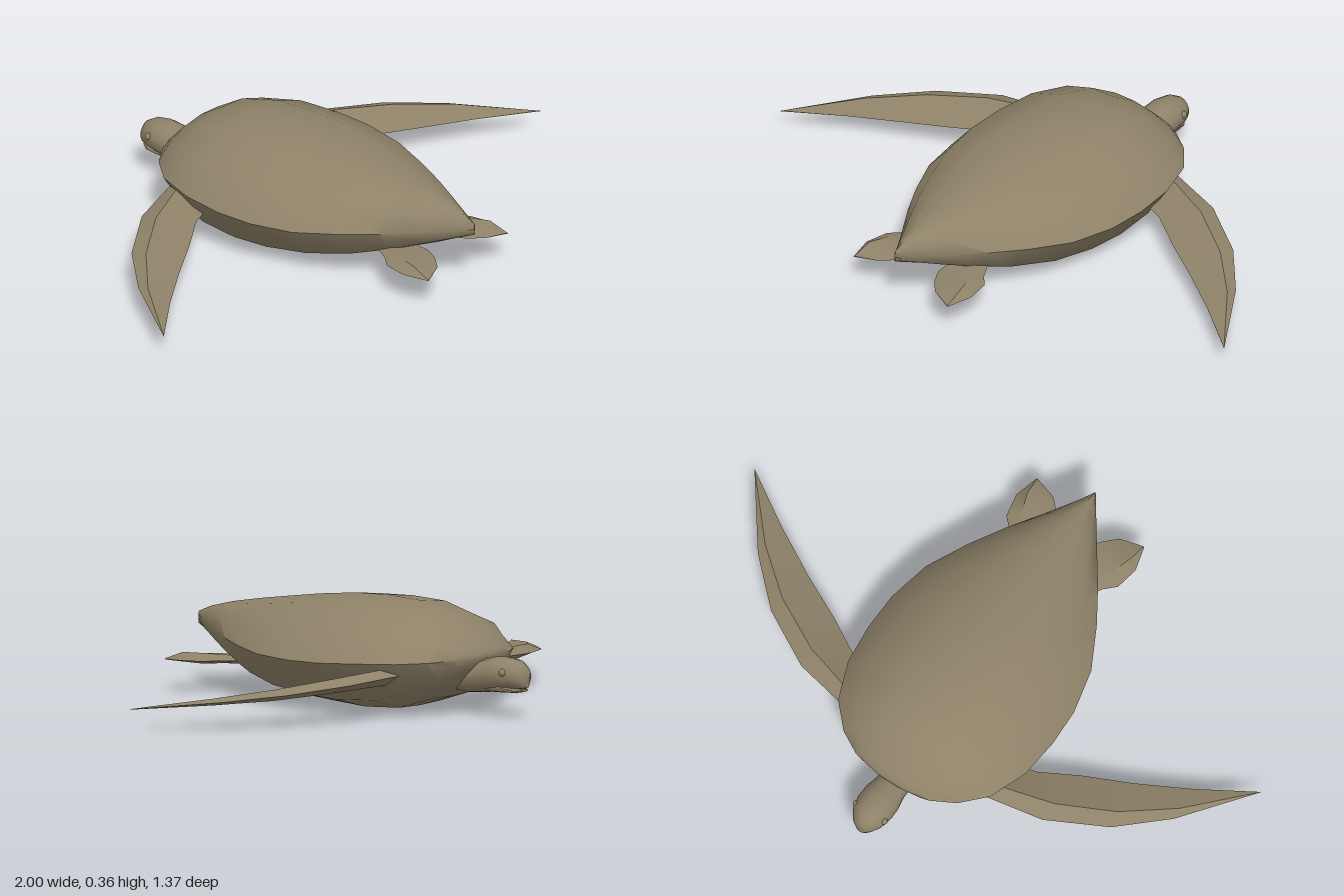
import * as THREE from 'three';
import { toCreasedNormals } from 'three/addons/utils/BufferGeometryUtils.js';

// Skin closed rings of [x, y, z] points, cap both ends, and face outwards
function loft(rings, crease) {
  const n = rings[0].length, pos = rings.flat(2), idx = [];
  const at = (r, i) => r * n + (i % n);
  for (let r = 0; r < rings.length - 1; r++)
    for (let i = 0; i < n; i++)
      idx.push(at(r, i), at(r, i + 1), at(r + 1, i), at(r, i + 1), at(r + 1, i + 1), at(r + 1, i));
  [0, rings.length - 1].forEach((r, end) => {
    const c = pos.length / 3;
    for (let k = 0; k < 3; k++) pos.push(rings[r].reduce((s, p) => s + p[k], 0) / n);
    for (let i = 0; i < n; i++) idx.push(c, at(r, end ? i : i + 1), at(r, end ? i + 1 : i));
  });
  // Reverse the corners when the signed volume is negative
  const v = (i) => new THREE.Vector3(pos[i * 3], pos[i * 3 + 1], pos[i * 3 + 2]);
  let volume = 0;
  for (let i = 0; i < idx.length; i += 3) volume += v(idx[i]).dot(v(idx[i + 1]).cross(v(idx[i + 2])));
  if (volume < 0) idx.reverse();
  const geo = new THREE.BufferGeometry();
  geo.setAttribute('position', new THREE.Float32BufferAttribute(pos, 3));
  geo.setIndex(idx);
  return toCreasedNormals(geo, crease);
}

// Flipper from stations: [leading point, trailing point, rise, drop]
function flipper(stations, side) {
  return loft(stations.map(([a, b, up, down]) => {
    const mid = (t, dy) => [side * (a[0] + (b[0] - a[0]) * t), a[1] + (b[1] - a[1]) * t + dy, a[2] + (b[2] - a[2]) * t];
    return [mid(0, 0), mid(0.3, up), mid(1, 0), mid(0.4, -down)];
  }), 0.6);
}

// Round sections along z: [z, half width, top, bottom]
function tube(stations) {
  return loft(stations.map(([z, w, top, bottom]) =>
    Array.from({ length: 14 }, (_, i) => {
      const a = (i / 14) * Math.PI * 2;
      return [w * Math.sin(a), (top + bottom) / 2 + ((top - bottom) / 2) * Math.cos(a), z];
    })), 1.0);
}

export function createModel() {
  const model = new THREE.Group();
  const skin = new THREE.MeshStandardMaterial({ color: 0x8e8268 });
  skin.name = 'olive brown';
  const add = (name, geo) => {
    const mesh = new THREE.Mesh(geo, skin);
    mesh.name = name;
    model.add(mesh);
    return mesh;
  };

  // Shell stations: z, half width, top, rim height, bottom
  const stations = [
    [-0.512, 0.06, 0.205, 0.195, 0.185], [-0.495, 0.145, 0.225, 0.193, 0.155],
    [-0.45, 0.225, 0.272, 0.19, 0.105], [-0.37, 0.3, 0.322, 0.187, 0.05],
    [-0.24, 0.349, 0.354, 0.183, 0.008], [-0.1, 0.363, 0.36, 0.175, 0],
    [0.03, 0.359, 0.355, 0.173, 0.008], [0.18, 0.325, 0.338, 0.175, 0.026],
    [0.32, 0.252, 0.317, 0.182, 0.053], [0.43, 0.182, 0.3, 0.19, 0.088],
    [0.54, 0.103, 0.28, 0.2, 0.132], [0.63, 0.039, 0.257, 0.208, 0.172],
    [0.682, 0.003, 0.235, 0.213, 0.195],
  ];
  // One half of the shell section; positive heights are above the rim
  const half = [[0, 1], [0.38, 0.9], [0.75, 0.58], [1, 0], [0.75, -0.74], [0.31, -0.98], [0, -1]];
  const outline = [...half, ...half.slice(1, -1).reverse().map(([x, y]) => [-x, y])];
  add('shell', loft(stations.map(([z, w, top, rim, bottom]) =>
    outline.map(([x, y]) => [x * w, rim + y * (y > 0 ? top - rim : rim - bottom), z])), 1.0));

  // Neck and head with a separate lower jaw
  add('neckAndHead', tube([
    [-0.38, 0.05, 0.165, 0.075], [-0.45, 0.055, 0.175, 0.07], [-0.51, 0.056, 0.184, 0.075],
    [-0.555, 0.065, 0.196, 0.082], [-0.6, 0.066, 0.2, 0.09], [-0.645, 0.056, 0.194, 0.096],
    [-0.672, 0.037, 0.178, 0.1], [-0.685, 0.016, 0.157, 0.104],
  ]));
  add('lowerJaw', tube([
    [-0.54, 0.04, 0.115, 0.08], [-0.6, 0.047, 0.115, 0.083],
    [-0.65, 0.036, 0.104, 0.086], [-0.677, 0.015, 0.1, 0.091],
  ]));

  for (const side of [1, -1]) {
    const label = side > 0 ? 'left' : 'right';
    const eye = add(label + 'Eye', new THREE.SphereGeometry(0.013, 10, 8));
    eye.position.set(side * 0.053, 0.155, -0.625);

    // Long swept front flipper
    add(label + 'FrontFlipper', flipper([
      [[0.24, 0.148, -0.375], [0.24, 0.115, -0.22], 0.03, 0.025],
      [[0.31, 0.144, -0.36], [0.36, 0.108, -0.19], 0.03, 0.022],
      [[0.475, 0.133, -0.325], [0.49, 0.1, -0.115], 0.028, 0.02],
      [[0.67, 0.113, -0.215], [0.64, 0.088, -0.04], 0.022, 0.015],
      [[0.82, 0.095, -0.07], [0.81, 0.08, 0.055], 0.014, 0.009],
      [[1, 0.071, 0.175], [0.995, 0.07, 0.172], 0.001, 0.001],
    ], side));

    // Short hind paddle
    add(label + 'HindFlipper', flipper([
      [[0.15, 0.112, 0.4], [0.05, 0.115, 0.47], 0.012, 0.016],
      [[0.185, 0.112, 0.455], [0.06, 0.115, 0.54], 0.014, 0.018],
      [[0.22, 0.11, 0.49], [0.085, 0.113, 0.585], 0.02, 0.018],
      [[0.235, 0.108, 0.57], [0.13, 0.112, 0.63], 0.022, 0.012],
      [[0.212, 0.103, 0.655], [0.205, 0.103, 0.654], 0.002, 0.002],
    ], side));
  }
  return model;
}
